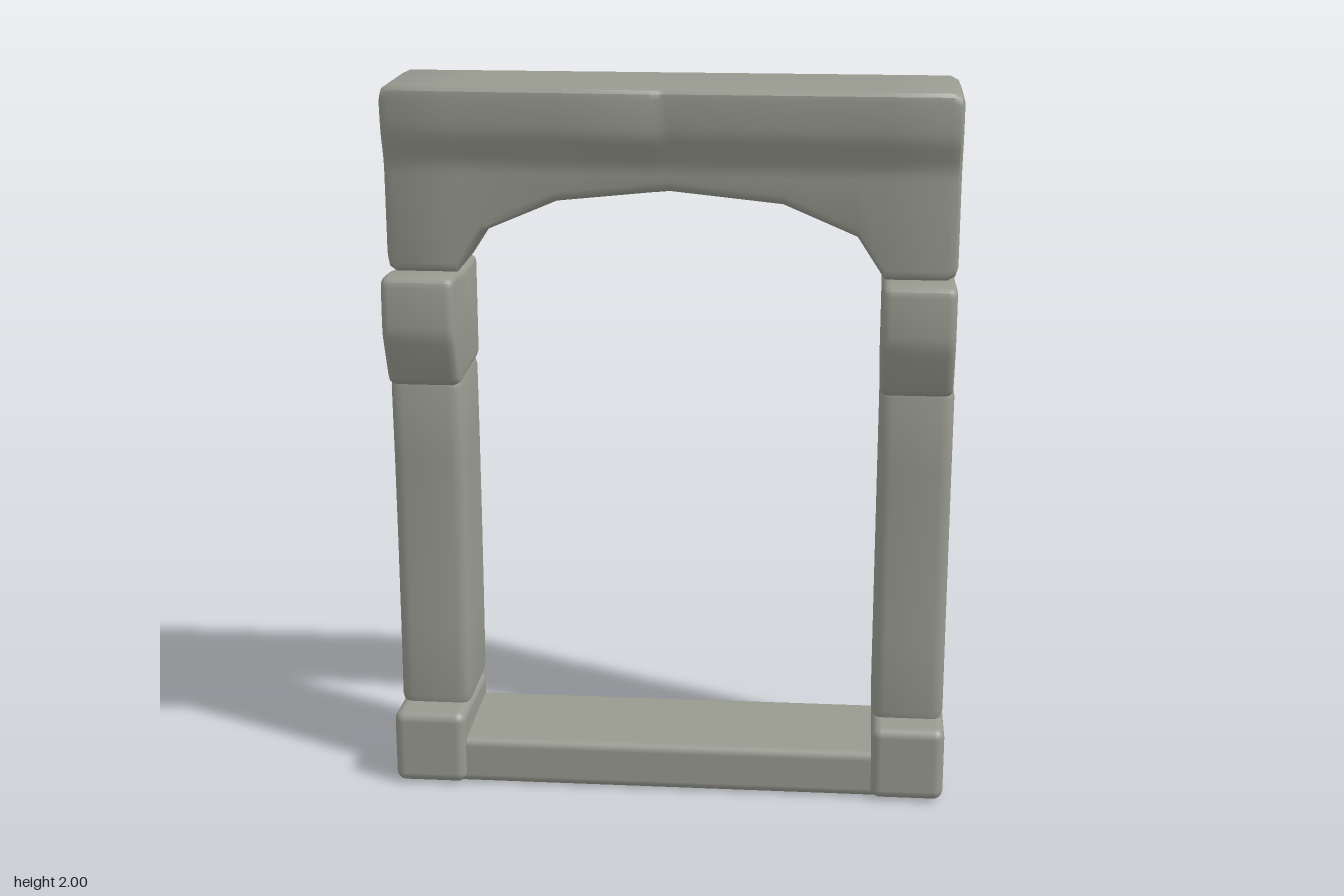
import * as THREE from 'three';
import { toCreasedNormals } from 'three/addons/utils/BufferGeometryUtils.js';
import { RoundedBoxGeometry } from 'three/addons/geometries/RoundedBoxGeometry.js';

// Round every corner of a closed 2D outline
function roundCorners(pts, r, steps = 3) {
  const out = [];
  pts.forEach((p, i) => {
    const c = new THREE.Vector2(...p);
    const toward = (q) => {
      const d = new THREE.Vector2(...q).sub(c);
      return c.clone().add(d.setLength(Math.min(r, d.length() * 0.45)));
    };
    const a = toward(pts[(i + pts.length - 1) % pts.length]);
    const b = toward(pts[(i + 1) % pts.length]);
    out.push(...new THREE.QuadraticBezierCurve(a, c, b).getPoints(steps));
  });
  return out;
}

// Skin a stack of equal-length rings (each an array of Vector3) and cap the ends
function loft(rings, crease = 0.6) {
  const n = rings[0].length, pos = [], idx = [];
  rings.flat().forEach((v) => pos.push(v.x, v.y, v.z));
  for (let i = 0; i < rings.length - 1; i++) {
    for (let j = 0; j < n; j++) {
      const a = i * n + j, b = i * n + (j + 1) % n;
      idx.push(a, b, b + n, a, b + n, a + n);
    }
  }
  [0, rings.length - 1].forEach((k) => {
    const c = new THREE.Vector3();
    rings[k].forEach((v) => c.addScaledVector(v, 1 / n));
    const ci = pos.length / 3;
    pos.push(c.x, c.y, c.z);
    for (let j = 0; j < n; j++) {
      const a = k * n + j, b = k * n + (j + 1) % n;
      if (k === 0) idx.push(ci, b, a); else idx.push(ci, a, b);
    }
  });
  // Turn the faces outward if the signed volume is negative
  const at = (i) => new THREE.Vector3().fromArray(pos, i * 3);
  let volume = 0;
  for (let i = 0; i < idx.length; i += 3) volume += at(idx[i]).dot(at(idx[i + 1]).cross(at(idx[i + 2])));
  if (volume < 0) idx.reverse();
  const g = new THREE.BufferGeometry();
  g.setAttribute('position', new THREE.Float32BufferAttribute(pos, 3));
  g.setIndex(idx);
  return toCreasedNormals(g, crease);
}

// Arched lintel: side sections along x, with the underside following the arch
function lintelGeometry() {
  // x, underside height, end inset, front of the lip
  const stations = [
    [-0.773, 1.485, 0.028, 0.152], [-0.765, 1.485, 0.01, 0.152], [-0.745, 1.485, 0, 0.152],
    [-0.58, 1.485, 0, 0.156], [-0.505, 1.6, 0, 0.159], [-0.305, 1.685, 0, 0.163],
    [-0.045, 1.712, 0, 0.17], [-0.02, 1.714, 0, 0.16], [0, 1.716, 0, 0.163],
    [0.305, 1.685, 0, 0.163], [0.505, 1.6, 0, 0.163], [0.58, 1.485, 0, 0.163],
    [0.745, 1.485, 0, 0.162], [0.767, 1.485, 0.01, 0.162], [0.775, 1.485, 0.028, 0.162],
  ];
  return loft(stations.map(([x, bottom, d, lip]) => {
    const outline = [
      [-0.195 + d, 2 - d], [lip - d, 1.997 - d], [lip - 0.01 - d, 1.87],
      [0.112 - d, 1.785], [0.108 - d, bottom + d], [-0.19 + d, bottom + d],
    ];
    return roundCorners(outline, 0.028).map((p) => new THREE.Vector3(x, p.y, p.x));
  }));
}

// Slightly bowed post: rounded rectangles stacked along y
function postGeometry() {
  const stations = [
    [0.2, 0.02, 0], [0.215, 0.004, 0], [0.235, 0, 0], [0.45, 0, -0.004], [0.7, 0, -0.006],
    [0.95, 0, -0.003], [1.16, 0, 0.004], [1.18, 0.005, 0.004], [1.19, 0.02, 0.004],
  ];
  return loft(stations.map(([y, d, bow]) => {
    const w = 0.101 - d, back = -0.199 + d + bow, front = 0.098 - d + bow;
    const outline = [[-w, back], [w, back], [w, front], [-w, front]];
    return roundCorners(outline, 0.035).map((p) => new THREE.Vector3(p.x, y, p.y));
  }));
}

// Corbel block: side profile extruded across x with soft edges
function corbelGeometry() {
  const bevel = 0.022, width = 0.198;
  const profile = [[-0.192, 1.18], [0.138, 1.172], [0.206, 1.33], [0.203, 1.49], [0.11, 1.49], [0, 1.475], [-0.192, 1.482]];
  const g = new THREE.ExtrudeGeometry(new THREE.Shape(roundCorners(profile, 0.028)), {
    depth: width - 2 * bevel, bevelEnabled: true, bevelThickness: bevel,
    bevelSize: bevel * 0.8, bevelOffset: -bevel * 0.8, bevelSegments: 3,
  });
  g.translate(0, 0, -(width / 2 - bevel)).rotateY(-Math.PI / 2);
  return toCreasedNormals(g, 0.6);
}

// Base block, with its top stepped down a little toward the back
function baseGeometry() {
  const g = new RoundedBoxGeometry(0.204, 0.215, 0.388, 3, 0.028);
  const p = g.attributes.position;
  for (let i = 0; i < p.count; i++) {
    if (p.getY(i) > 0 && p.getZ(i) < 0) p.setY(i, p.getY(i) - 0.018);
  }
  return g.translate(0, 0.1175, -0.003);
}

export function createModel() {
  const stone = new THREE.MeshStandardMaterial({ color: 0x98998f });
  stone.name = 'greyStone';
  const model = new THREE.Group();
  model.name = 'stoneArch';

  const add = (name, geometry, x = 0, y = 0, z = 0) => {
    const mesh = new THREE.Mesh(geometry, stone);
    mesh.name = name;
    mesh.position.set(x, y, z);
    model.add(mesh);
  };

  add('archedLintel', lintelGeometry());
  add('sill', new RoundedBoxGeometry(1.24, 0.137, 0.355, 3, 0.025), 0, 0.0745, -0.008);

  // Matching pillar on each side
  const post = postGeometry(), corbel = corbelGeometry(), base = baseGeometry();
  [['left', 1], ['right', -1]].forEach(([side, s]) => {
    add(side + 'Base', base, s * 0.68);
    add(side + 'Post', post, s * 0.677);
    add(side + 'Corbel', corbel, s * 0.673);
  });

  // Rest the stones on the ground
  model.children.forEach((m) => { if (/Base|sill/.test(m.name)) m.position.y -= 0.006; });
  return model;
}
